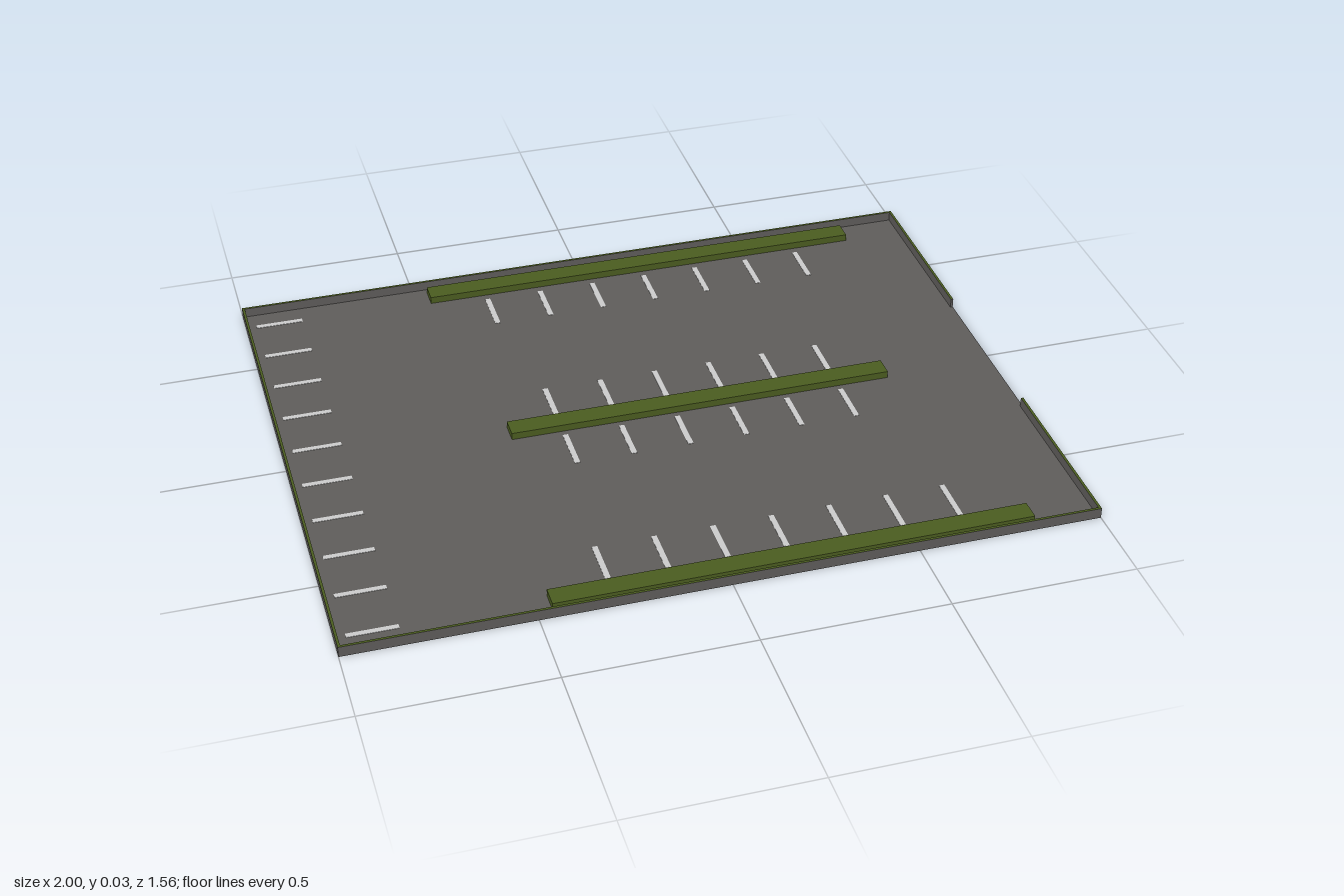
import * as THREE from 'three';

export function createModel() {
  const model = new THREE.Group();
  const paint = (name, color) => {
    const m = new THREE.MeshStandardMaterial({ color });
    m.name = name;
    return m;
  };
  const asphalt = paint('asphalt grey', 0x5f5d5b);
  const hedgeGreen = paint('hedge green', 0x4b5d20);
  const lineWhite = paint('line white', 0xcccccc);

  const W = 1, D = 0.78, FLOOR = 0.003, WALL_H = 0.03, T = 0.007;

  // Box given by its lower and upper limits on each axis
  function box(name, material, [x0, x1], [y0, y1], [z0, z1]) {
    const mesh = new THREE.Mesh(new THREE.BoxGeometry(x1 - x0, y1 - y0, z1 - z0), material);
    mesh.position.set((x0 + x1) / 2, (y0 + y1) / 2, (z0 + z1) / 2);
    mesh.name = name;
    model.add(mesh);
  }

  box('ground', asphalt, [-W, W], [0, FLOOR], [-D, D]);

  // Low boundary walls with green tops; the +x side has an entrance gap
  const wallFaces = [asphalt, asphalt, hedgeGreen, asphalt, asphalt, asphalt];
  const wall = (name, x, z) => box(name, wallFaces, x, [FLOOR, WALL_H], z);
  wall('rightWall', [-W, -W + T], [-D, D]);
  wall('backWall', [-W + T, W], [-D, -D + T]);
  wall('frontWall', [-W + T, W], [D - T, D]);
  wall('entranceWallBack', [W - T, W], [-D + T, -0.26]);
  wall('entranceWallFront', [W - T, W], [0.26, D - T]);

  // Hedge strips
  const hedge = (name, x, z) => box(name, hedgeGreen, x, [FLOOR, 0.023], [z - 0.029, z + 0.029]);
  hedge('middleHedge', [-0.39, 0.69], 0);
  hedge('backHedge', [-0.46, 0.825], -0.725);
  hedge('frontHedge', [-0.46, 0.825], 0.725);

  // Painted parking lines
  const H = 0.0075, SPACING = 0.158;
  const line = (x, z) => box('parkingLine', lineWhite, x, [FLOOR, FLOOR + 0.001], z);
  for (let i = 0; i < 10; i++) {
    const z = (i - 4.5) * SPACING;
    line([-0.97, -0.837], [z - H, z + H]);
  }
  function row(count, start, near, far) {
    for (let i = 0; i < count; i++) {
      const x = start + i * SPACING;
      line([x - H, x + H], [near, far]);
      line([x - H, x + H], [-far, -near]);
    }
  }
  row(7, -0.296, 0.54, 0.673);
  row(6, -0.246, 0.047, 0.18);

  return model;
}
